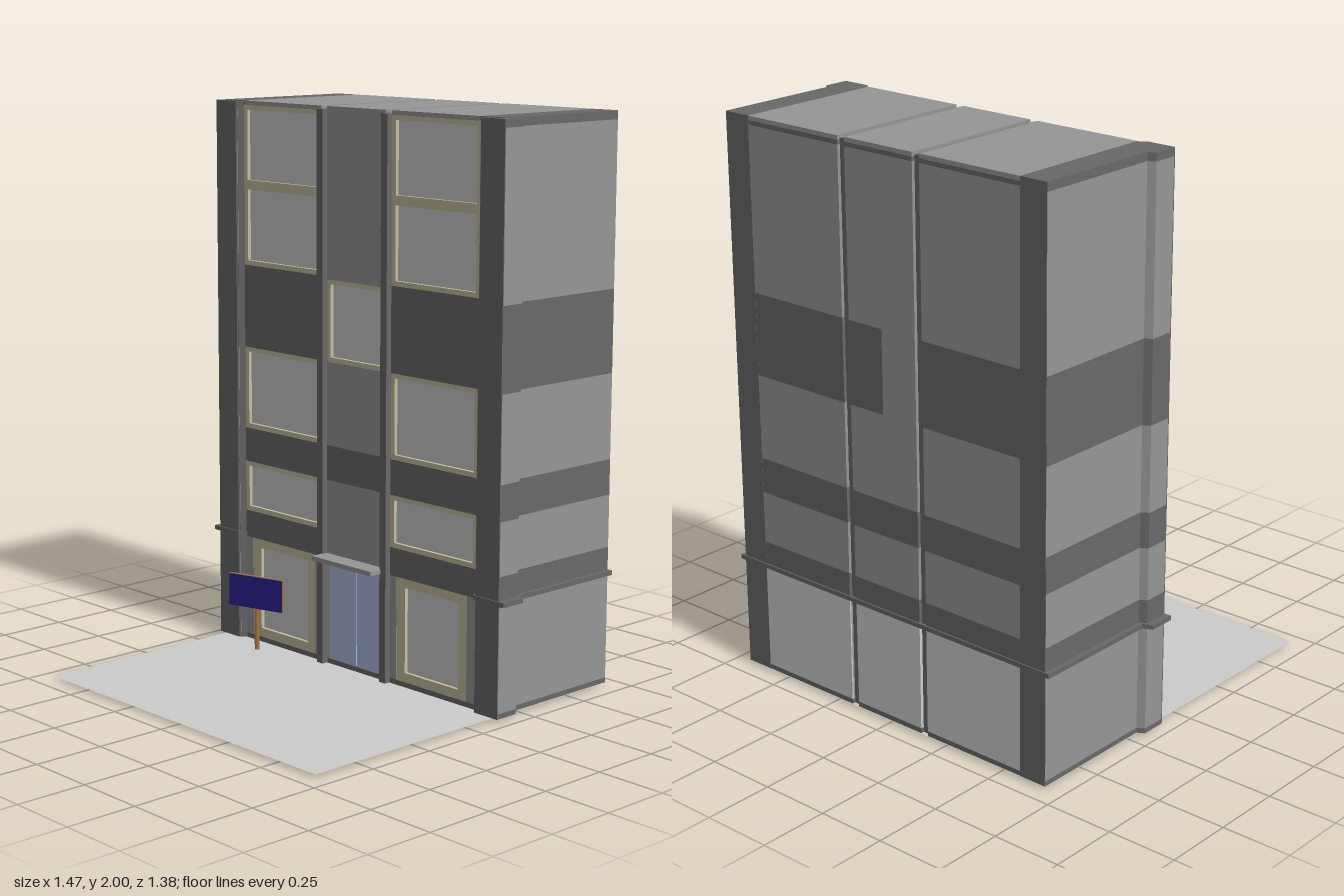
import * as THREE from 'three';

const mat = (color) => new THREE.MeshStandardMaterial({ color, side: THREE.DoubleSide });
const PALE = mat(0xcccccc), LIGHT = mat(0x969696), DARK = mat(0x696969);
const CREAM = mat(0xc4bf9d), BLUE = mat(0xb0bde6), NAVY = mat(0x241c80), BROWN = mat(0xa8743f);

// Horizontal bands of the facade: bottom, top, colour
const BANDS = [
  [0.012, 0.03, DARK], [0.03, 0.41, LIGHT], [0.41, 0.5, DARK], [0.5, 0.685, LIGHT],
  [0.685, 0.81, DARK], [0.81, 1.11, LIGHT], [1.11, 1.4, DARK], [1.4, 1.97, LIGHT], [1.97, 1.985, DARK],
];

export function createModel() {
  const model = new THREE.Group();

  const add = (name, geometry, material) => {
    const mesh = new THREE.Mesh(geometry, material);
    mesh.name = name;
    model.add(mesh);
    return mesh;
  };
  // Box given by its limits on each axis
  const box = (name, x0, x1, y0, y1, z0, z1, material) => {
    const g = new THREE.BoxGeometry(Math.abs(x1 - x0), y1 - y0, z1 - z0);
    g.translate((x0 + x1) / 2, (y0 + y1) / 2, (z0 + z1) / 2);
    return add(name, g, material);
  };
  // Upright prism over a plan outline of [x, z] points
  const prism = (name, side, plan, y0, y1, material) => {
    const shape = new THREE.Shape(plan.map(([x, z]) => new THREE.Vector2(side * x, -z)));
    const g = new THREE.ExtrudeGeometry(shape, { depth: y1 - y0, bevelEnabled: false });
    g.rotateX(-Math.PI / 2).translate(0, y0, 0);
    return add(name, g, material);
  };
  // Cream frame with a recessed pane
  const windowUnit = (name, x0, x1, y0, y1, border, borderY = border) => {
    const rect = (Type, a, b, c, d) => new Type([[a, c], [b, c], [b, d], [a, d]].map((p) => new THREE.Vector2(...p)));
    const shape = rect(THREE.Shape, x0, x1, y0, y1);
    shape.holes.push(rect(THREE.Path, x0 + border, x1 - border, y0 + borderY, y1 - borderY));
    const g = new THREE.ExtrudeGeometry(shape, { depth: 0.023, bevelEnabled: false });
    add(name + 'Frame', g.translate(0, 0, -0.155), CREAM);
    box(name + 'Pane', x0 + border, x1 - border, y0 + borderY, y1 - borderY, -0.155, -0.145, PALE);
  };

  // Ground sheet
  add('ground', new THREE.PlaneGeometry(1.37, 1.37).rotateX(-Math.PI / 2).translate(0, 0.01, 0), PALE);

  // Body, back panels and corner pillars, band by band
  const pillar = [[0.6, -0.112], [0.71, -0.112], [0.71, -0.2], [0.684, -0.215], [0.6, -0.215]];
  for (const [y0, y1, m] of BANDS) {
    box('wallBand', -0.685, 0.685, y0, y1, -0.67, -0.155, m);
    const back = y0 === 0.03 ? PALE : m;
    for (const s of [-1, 1]) {
      box('backPanel', s * 0.175, s * 0.685, y0, y1, -0.685, -0.67, m);
      if (back !== m) box('backBasePanel', s * 0.175, s * 0.58, y0, y1, -0.6855, -0.68, back);
      box('backMiddlePanel', 0, s * 0.145, y0, y1, -0.685, -0.67, y0 === 1.11 && s < 0 ? LIGHT : back);
      prism('cornerPillar', s, pillar, y0, y1, m);
    }
  }

  for (const s of [-1, 1]) {
    // Dark chamfered pillar fronts, caps and back corner strips
    prism('pillarFront', s, [[0.585, -0.155], [0.585, -0.13], [0.605, -0.108], [0.71, -0.108], [0.71, -0.112], [0.61, -0.13], [0.61, -0.155]], 0.012, 1.985, DARK);
    prism('pillarCap', s, [[0.585, -0.13], [0.605, -0.108], [0.71, -0.108], [0.71, -0.2], [0.685, -0.215], [0.585, -0.215]], 1.985, 1.998, DARK);
    box('backCornerStrip', s * 0.58, s * 0.684, 0.012, 1.985, -0.686, -0.684, DARK);

    // Roof slabs, leaving grooves over the ribs
    box('roofEdge', s * 0.58, s * 0.685, 1.985, 2, -0.685, -0.13, DARK);
    box('roofSlab', s * 0.175, s * 0.58, 1.985, 2, -0.685, -0.13, LIGHT);

    // Vertical ribs beside the middle bay
    box('rib', s * 0.145, s * 0.175, 0.012, 1.99, -0.673, -0.108, DARK);

    // Ledge along the side and around the pillar
    box('sideLedge', s * 0.68, s * 0.702, 0.402, 0.418, -0.69, -0.21, DARK);
    prism('pillarLedge', s, [[0.58, -0.13], [0.6, -0.104], [0.735, -0.104], [0.735, -0.2], [0.7, -0.215], [0.6, -0.215]], 0.402, 0.418, DARK);

    // Outer bay: spandrels and windows
    for (const [y0, y1] of [[0.012, 0.03], [0.4, 0.5], [0.685, 0.81], [1.11, 1.41]]) {
      box('spandrel', s * 0.175, s * 0.585, y0, y1, -0.155, -0.13, DARK);
    }
    const span = (a, b) => (s > 0 ? [a, b] : [-b, -a]);
    for (const [y0, y1] of [[0.5, 0.685], [0.81, 1.11], [1.41, 1.7], [1.7, 1.985]]) {
      windowUnit('window', ...span(0.175, 0.585), y0, y1, 0.017);
    }
    windowUnit('shopWindow', ...span(0.208, 0.546), 0.03, 0.4, 0.041, 0.033);
    box('shopWall', s * 0.175, s * 0.208, 0.03, 0.4, -0.155, -0.13, LIGHT);
    box('shopWall', s * 0.546, s * 0.585, 0.03, 0.4, -0.155, -0.13, LIGHT);

    // Door leaf
    box('doorLeaf', s * 0.002, s * 0.14, 0.03, 0.4, -0.155, -0.138, BLUE);
  }
  box('roofMiddle', -0.145, 0.145, 1.985, 2, -0.685, -0.13, LIGHT);
  box('backLedge', -0.702, 0.702, 0.402, 0.418, -0.69, -0.68, DARK);

  // Middle bay
  for (const [y0, y1, m] of [[0.012, 0.03, DARK], [0.4, 0.685, LIGHT], [0.685, 0.81, DARK], [0.81, 1.11, LIGHT], [1.4, 1.985, LIGHT]]) {
    box('middleWall', -0.145, 0.145, y0, y1, -0.155, -0.13, m);
  }
  windowUnit('middleWindow', -0.145, 0.145, 1.11, 1.4, 0.016);
  box('awning', -0.15, 0.15, 0.402, 0.418, -0.135, -0.06, LIGHT);

  // Blank signboard on a post
  const sign = new THREE.Group();
  sign.name = 'sign';
  const post = new THREE.Mesh(new THREE.CylinderGeometry(0.009, 0.009, 0.287, 8), BROWN);
  post.name = 'signPost';
  post.position.y = 0.1435;
  const board = new THREE.Mesh(new THREE.BoxGeometry(0.228, 0.12, 0.012), BROWN);
  board.name = 'signBoard';
  board.position.y = 0.225;
  const face = new THREE.Mesh(new THREE.BoxGeometry(0.226, 0.118, 0.005), NAVY);
  face.name = 'signFace';
  face.position.set(0, 0.225, 0.008);
  sign.add(post, board, face);
  sign.position.set(-0.445, 0, -0.057);
  sign.rotation.y = 0.28;
  model.add(sign);

  return model;
}
